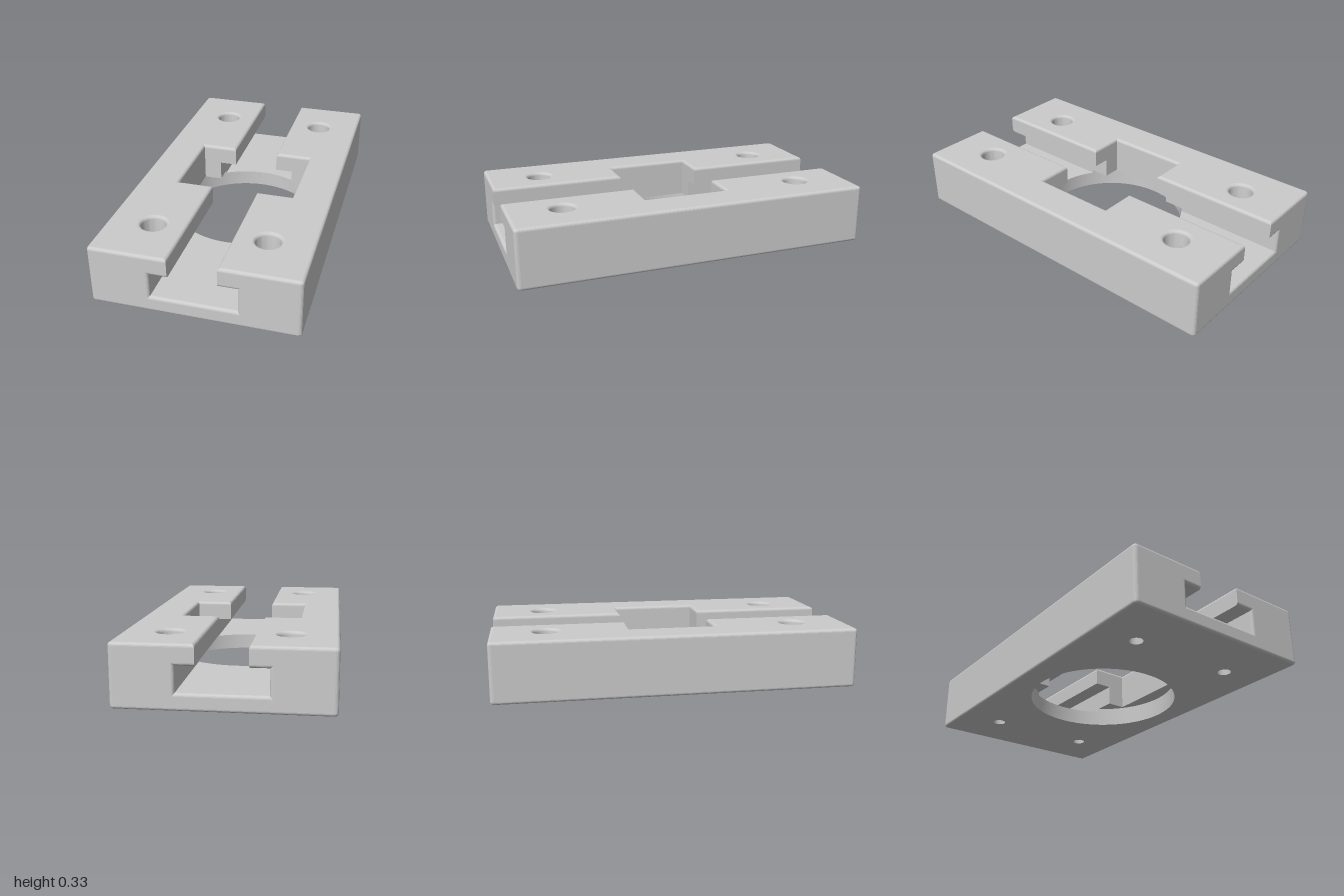
import * as THREE from 'three';
import { mergeGeometries, toCreasedNormals } from 'three/addons/utils/BufferGeometryUtils.js';

// Plan outlines are lists of [x, s] with s = -z, counter-clockwise around solid material.
const W = 0.555, L = 1, H = 0.333;        // half width, half length, height
const R = 0.017;                          // edge rounding
const FLOOR = 0.09, LEDGE = 0.11, LIP = 0.225;
const SLOT = 0.23, MOUTH = 0.13;          // half widths of the T-slot
const PX = 0.335, PZ = 0.24;              // half size of the central pocket
const BORE = 0.425;                       // radius of the round opening in the base
const SX = 0.31, SZ = 0.7;                // screw hole positions
const SCREW = 0.037, HEAD = 0.067, HEAD_Y = 0.16;
const FX = SLOT + R;                      // half width of the slot where its ends flare

const arc = (cx, cy, r, a0, a1, n) => Array.from({ length: n + 1 }, (_, i) => {
  const a = a0 + (a1 - a0) * i / n;
  return [cx + r * Math.cos(a), cy + r * Math.sin(a)];
});
const circle = (cx, cy, r, n) => arc(cx, cy, r, 2 * Math.PI, 0, n).slice(0, -1); // clockwise: a hole
const flip = pts => pts.map(([x, s]) => [x, -s]).reverse();
const mirrorZ = pts => [...pts, ...flip(pts)];

// Moves a closed outline inwards by d
function inset(pts, d) {
  const normal = (a, b) => {
    const l = Math.hypot(b[0] - a[0], b[1] - a[1]);
    return [(a[1] - b[1]) / l, (b[0] - a[0]) / l];
  };
  return pts.map((p, i) => {
    const n = normal(pts.at(i - 1), p), m = normal(p, pts[(i + 1) % pts.length]);
    const k = d / (1 + n[0] * m[0] + n[1] * m[1]);
    return [p[0] + (n[0] + m[0]) * k, p[1] + (n[1] + m[1]) * k];
  });
}

// Wall through a stack of [outline, y], lowest first
function loft(stack) {
  const pos = [];
  for (let k = 0; k + 1 < stack.length; k++) {
    const [lo, y0] = stack[k], [hi, y1] = stack[k + 1];
    lo.forEach((p, i) => {
      const j = (i + 1) % lo.length;
      const a = [p[0], y0, -p[1]], b = [lo[j][0], y0, -lo[j][1]];
      const c = [hi[j][0], y1, -hi[j][1]], d = [hi[i][0], y1, -hi[i][1]];
      pos.push(...a, ...b, ...c, ...a, ...c, ...d);
    });
  }
  const g = new THREE.BufferGeometry();
  g.setAttribute('position', new THREE.Float32BufferAttribute(pos, 3));
  g.computeVertexNormals();
  return g;
}

// Flat face at height y, looking up (or down), with holes
function cap(pts, y, up, holes = []) {
  const toVec = p => new THREE.Vector2(p[0], p[1]);
  const shape = new THREE.Shape((up ? pts : flip(pts)).map(toVec));
  shape.holes = holes.map(h => new THREE.Path((up ? h : flip(h)).map(toVec)));
  const g = new THREE.ShapeGeometry(shape).toNonIndexed();
  g.deleteAttribute('uv');
  return g.rotateX(up ? -Math.PI / 2 : Math.PI / 2).translate(0, y, 0);
}

// Quarter-round steps: [inset, rise] pairs from a vertical wall to a flat top
const ROUND = Array.from({ length: 6 }, (_, i) => {
  const a = i / 5 * Math.PI / 2;
  return [R * (1 - Math.cos(a)), R * Math.sin(a)];
});

const material = new THREE.MeshStandardMaterial({ color: 0xcccccc });
function part(name, geometries) {
  const mesh = new THREE.Mesh(mergeGeometries(geometries), material);
  mesh.name = name;
  return mesh;
}

// Outer side of the block with its two rounded corners
const C = 0.02;
const outer = [
  ...arc(W - C, C - L, C, -Math.PI / 2, 0, 4),
  ...arc(W - C, L - C, C, 0, Math.PI / 2, 4),
];

function makeBase() {
  const outline = [...outer, ...outer.map(([x, s]) => [-x, -s])];
  const opening = circle(0, 0, BORE, 96);
  const screws = [];
  for (const x of [-SX, SX]) for (const s of [-SZ, SZ]) screws.push(circle(x, s, SCREW, 32));

  const sides = ROUND.map(([d, h]) => [inset(outline, d), R - h]).reverse();
  sides.push([outline, FLOOR - R]);
  const parts = [
    cap(inset(outline, R), 0, false, [opening, ...screws]),
    loft(sides),
    toCreasedNormals(loft([[opening, 0], [opening, FLOOR - R]]), 0.3),
  ];

  // slot floor at each end, from the round opening to a rolled outer edge
  const a = Math.acos(FX / BORE);
  const rim = arc(0, 0, BORE, Math.PI - a, a, 40);
  for (const turn of [pts => pts, flip]) {
    const strip = d => turn([[FX, L - d], [-FX, L - d], ...rim]);
    parts.push(
      cap(strip(R), FLOOR, true),
      toCreasedNormals(loft(ROUND.map(([d, h]) => [strip(d), FLOOR - R + h])), 0.1),
    );
  }
  return part('base', parts);
}

function makeRail(name, side) {
  const place = pts => side > 0 ? pts : pts.map(([x, s]) => [-x, s]).reverse();
  const a = Math.acos(SLOT / BORE), zc = BORE * Math.sin(a);
  const flare = arc(FX, L - R, R, Math.PI / 2, Math.PI, 5);
  const pocket = [[SLOT, PZ], [PX, PZ]];
  const bowl = arc(0, 0, BORE, a, -a, 40);

  // outlines beside the round opening, beside the slot, and at the overhanging lip
  const low = place([...outer, ...flare, ...bowl, ...flip(flare)]);
  const mid = place([...outer, ...mirrorZ([...flare, ...pocket])]);
  const top = place([...outer, ...mirrorZ([[MOUTH, L], [MOUTH, PZ], [PX, PZ]])]);

  const parts = [
    toCreasedNormals(loft([[low, FLOOR - R], [low, LEDGE]]), 0.1),
    loft([[mid, LEDGE], [mid, LIP + R]]),
    loft([[top, LIP + R], ...ROUND.map(([d, h]) => [inset(top, d), H - R + h])]),
    cap(inset(top, R), H, true, [-SZ, SZ].map(s => circle(side * SX, s, HEAD + R, 40))),
    // ledge over the round opening
    cap(place([[SLOT, -zc], ...bowl.slice(1, -1).reverse(), [SLOT, zc], ...mirrorZ(pocket)]), LEDGE, false),
  ];
  for (const e of [-1, 1]) {
    // underside of the lip, rolled up at the outer end
    const lip = d => {
      const pts = [[MOUTH, PZ], [FX, PZ], [FX, L - d], [MOUTH, L - d]];
      return place(e > 0 ? pts : flip(pts));
    };
    parts.push(
      cap(lip(R), LIP, false),
      loft(ROUND.map(([d, h]) => [lip(d), LIP + R - h]).reverse()),
    );
    // counterbored screw hole with a rounded rim
    const ring = r => circle(side * SX, e * SZ, r, 40);
    parts.push(toCreasedNormals(loft([
      [ring(SCREW), 0], [ring(SCREW), HEAD_Y], [ring(HEAD), HEAD_Y],
      ...ROUND.map(([d, h]) => [ring(HEAD + d), H - R + h]),
    ]), 0.5));
  }
  return part(name, parts);
}

export function createModel() {
  const model = new THREE.Group();
  model.name = 'slottedMountingBlock';
  model.add(makeBase(), makeRail('leftRail', 1), makeRail('rightRail', -1));
  return model;
}
